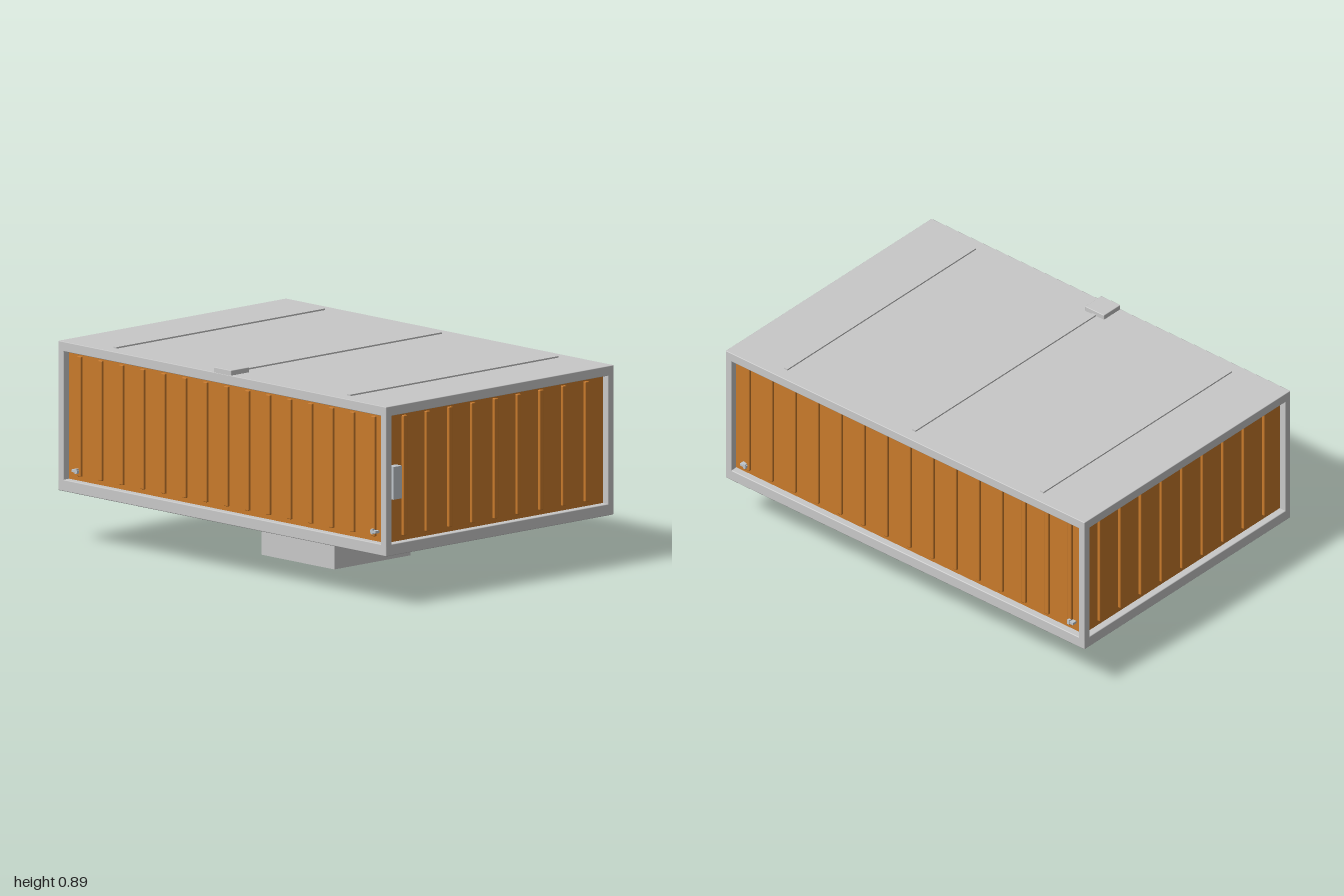
import * as THREE from 'three';
import { RoundedBoxGeometry } from 'three/addons/geometries/RoundedBoxGeometry.js';

export function createModel() {
  const model = new THREE.Group();
  model.name = 'cargoContainer';
  const body = new THREE.Group();
  body.name = 'body';
  body.position.x = -0.003; // leaves room for the side plate
  model.add(body);

  const material = (name, color) => {
    const m = new THREE.MeshStandardMaterial({ color });
    m.name = name;
    return m;
  };
  const grey = material('light grey', 0xc8c8c8);
  const orange = material('orange', 0xc87a2b);
  const steel = material('pale steel', 0xc0c6cc);

  // Box given by its centre and size, with an optional small bevel
  const box = (name, mat, [x, y, z], [w, h, d], bevel = 0, parent = body) => {
    const geometry = bevel
      ? new RoundedBoxGeometry(w, h, d, 1, bevel)
      : new THREE.BoxGeometry(w, h, d);
    const mesh = new THREE.Mesh(geometry, mat);
    mesh.name = name;
    mesh.position.set(x, y, z);
    parent.add(mesh);
    return mesh;
  };

  const HX = 0.997, HZ = 0.662; // outer half sizes
  const PX = 0.965, PZ = 0.63; // wall panel half sizes
  const wallY = 0.55;

  // Pedestal, floor, roof and recessed wall block
  box('pedestal', grey, [0, 0.1125, 0], [0.444, 0.225, 0.444]);
  box('floorSlab', grey, [0, 0.25, 0], [2 * HX, 0.05, 2 * HZ], 0.004);
  box('roofSlab', grey, [0, 0.845, 0], [2 * HX, 0.042, 2 * HZ], 0.003);
  box('wallPanels', orange, [0, wallY, 0], [2 * PX, 0.56, 2 * PZ]);

  // Corner posts
  for (const sx of [-1, 1]) {
    for (const sz of [-1, 1]) {
      box('cornerPost', grey,
        [sx * (HX - 0.0165), wallY, sz * (HZ - 0.0165)], [0.033, 0.57, 0.033], 0.003);
    }
  }

  // Wall ribs
  const ribH = 0.515, ribY = 0.553, ribW = 0.024, ribD = 0.024;
  for (const s of [-1, 1]) {
    for (let i = -7; i <= 7; i++) {
      box('longWallRib', orange, [i * 0.1277, ribY, s * PZ], [ribW, ribH, ribD], 0.004);
    }
    for (let i = -4; i <= 4; i++) {
      box('endWallRib', orange, [s * PX, ribY, i * 0.1321], [ribD, ribH, ribW], 0.004);
    }
  }

  // Roof strips and front latch block
  for (const x of [-0.711, 0, 0.711]) {
    box('roofStrip', grey, [x, 0.867, 0], [0.02, 0.011, 1.21]);
  }
  box('roofLatch', grey, [0, 0.875, 0.608], [0.106, 0.026, 0.106], 0.003);

  // Control plate on the left end wall
  box('sidePlate', steel, [0.983, 0.535, 0.6], [0.04, 0.14, 0.05]);

  // Small tie-down clips low on the long walls
  for (const sx of [-1, 1]) {
    for (const sz of [-1, 1]) {
      const clip = new THREE.Group();
      clip.name = 'tieDownClip';
      clip.position.set(sx * 0.908, 0.318, sz * 0.642);
      body.add(clip);
      box('clipBar', steel, [0, 0, 0], [0.034, 0.011, 0.022], 0, clip);
      box('clipKnob', steel, [-sx * 0.008, 0, 0], [0.011, 0.022, 0.024], 0, clip);
    }
  }

  return model;
}
